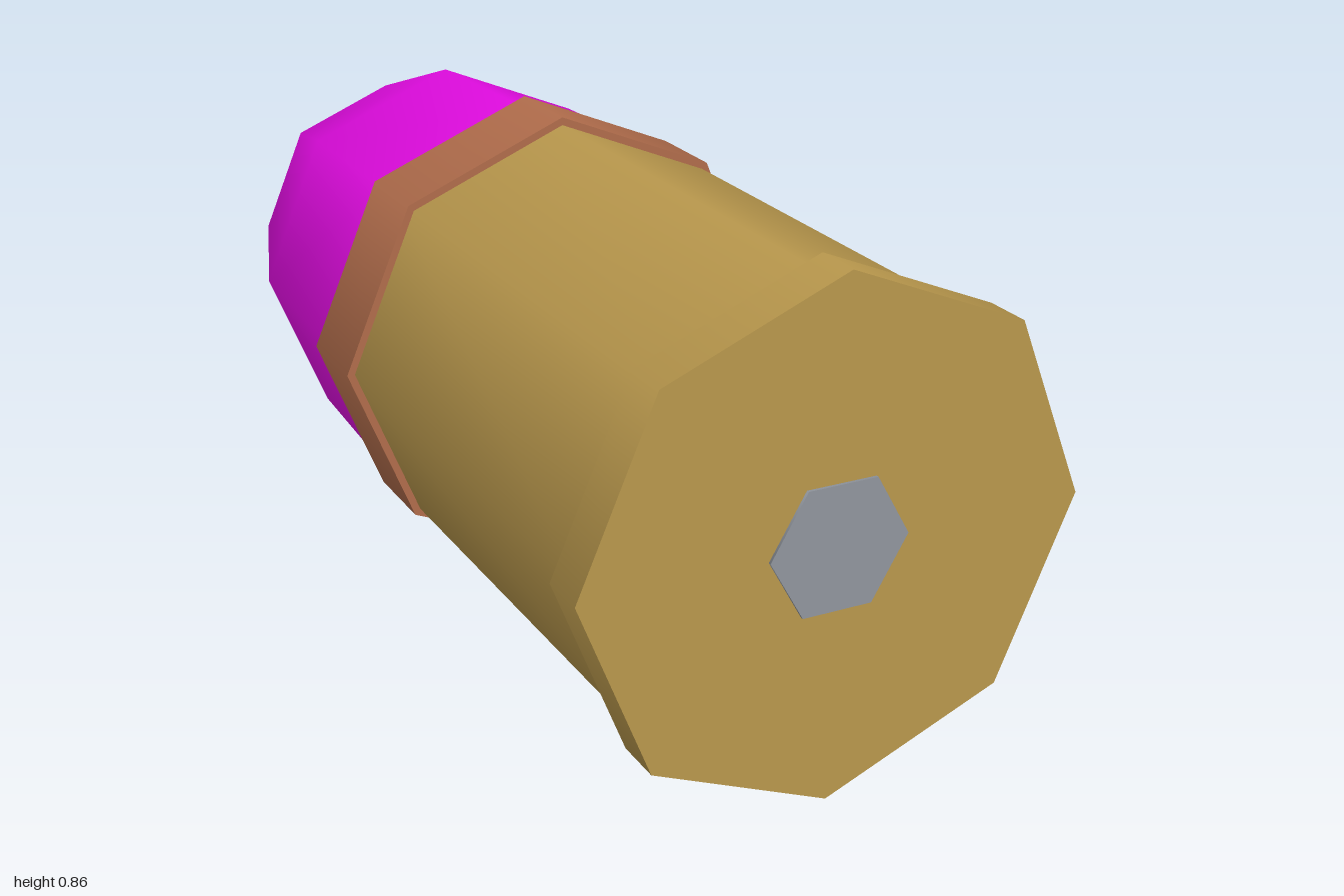
import * as THREE from 'three';

const CENTRE_Y = 0.4275;
const SIDES = 8;

function material(name, color) {
  const m = new THREE.MeshStandardMaterial({ color });
  m.name = name;
  return m;
}

export function createModel() {
  const brass = material('brass', 0xb8974c);
  const copper = material('copper', 0xb06c4b);
  const magenta = material('magenta', 0xe40ce4);
  const steel = material('steel', 0x90959d);

  const model = new THREE.Group();
  model.name = 'cartridge';

  function add(name, geometry, mat) {
    const mesh = new THREE.Mesh(geometry, mat);
    mesh.name = name;
    mesh.position.y = CENTRE_Y;
    model.add(mesh);
  }

  // Closed prism lying along z, smooth round its side
  function drum(name, radius, zBack, zFront, mat, sides = SIDES) {
    const g = new THREE.CylinderGeometry(radius, radius, zFront - zBack, sides);
    g.rotateX(-Math.PI / 2);
    g.translate(0, 0, (zFront + zBack) / 2);
    return add(name, g, mat);
  }

  // Casing, from the base rim to the collar
  drum('baseRim', 0.4275, 0.91, 0.99, brass);
  drum('casing', 0.398, 0, 0.95, brass);
  drum('collar', 0.412, -0.08, 0.075, copper);

  // Primer: six-sided disc with points to the sides
  const primer = new THREE.CylinderGeometry(0.118, 0.118, 0.02, 6);
  primer.rotateY(Math.PI / 2);
  primer.rotateX(-Math.PI / 2);
  primer.translate(0, 0, 0.985);
  add('primer', primer, steel);

  // Bullet: [radius, distance towards the tip]
  const profile = [[0.392, 0], [0.391, 0.08], [0.377, 0.44], [0.268, 0.76], [0.14, 0.94], [0.057, 1]]
    .map(([r, d]) => new THREE.Vector2(r, d));
  const bullet = new THREE.LatheGeometry(profile, SIDES);
  bullet.rotateX(-Math.PI / 2);
  add('bullet', bullet, magenta);

  // Flat end of the bullet
  const tip = new THREE.CircleGeometry(0.057, SIDES);
  tip.rotateY(Math.PI);
  tip.translate(0, 0, -1);
  add('bulletTip', tip, magenta);

  return model;
}
